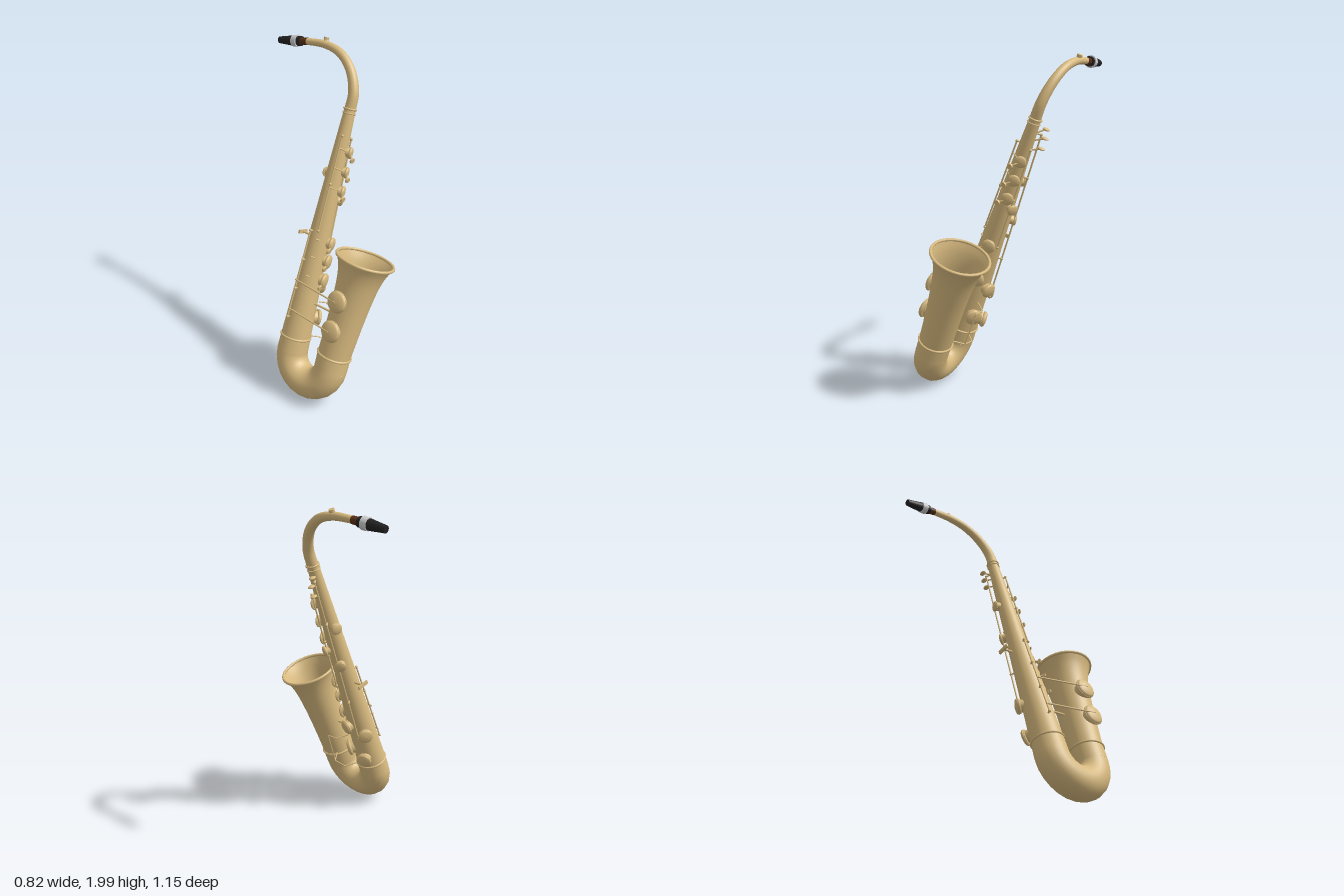
import * as THREE from 'three';

const mat = (color, side = THREE.FrontSide) => new THREE.MeshStandardMaterial({ color, side });
const brass = mat(0xd9bb80), brassOpen = mat(0xd9bb80, THREE.DoubleSide);
const black = mat(0x222222), cork = mat(0x5a3018), silver = mat(0xcccccc);
const V = (x, y, z) => new THREE.Vector3(x, y, z);
const UP = V(0, 1, 0);

const AXIS_Z = 0.05, BELL_Z = 0.35;
// Radius of the conical body at height v
const bodyR = v => 0.092 - 0.041 * v;

function add(parent, name, geo, material = brass) {
  const m = new THREE.Mesh(geo, material);
  m.name = name;
  parent.add(m);
  return m;
}

// Cylinder from a to b with a radius at each end
function rod(parent, name, a, b, r0 = 0.005, r1 = r0, material = brass, sides = 10) {
  const m = add(parent, name, new THREE.CylinderGeometry(r1, r0, a.distanceTo(b), sides), material);
  m.position.copy(a).add(b).multiplyScalar(0.5);
  m.quaternion.setFromUnitVectors(UP, b.clone().sub(a).normalize());
  return m;
}

function ring(parent, name, r, tube, pos) {
  const m = add(parent, name, new THREE.TorusGeometry(r, tube, 8, 32).rotateX(Math.PI / 2));
  m.position.copy(pos);
  return m;
}

// Tube whose radius runs from r0 to r1 along its path
function taperTube(path, steps, r0, r1, sides) {
  const geo = new THREE.TubeGeometry(path, steps, 1, sides);
  const pos = geo.attributes.position, p = V(0, 0, 0);
  for (let i = 0; i <= steps; i++) {
    const c = path.getPointAt(i / steps), r = r0 + (r1 - r0) * i / steps;
    for (let j = 0; j <= sides; j++) {
      const k = i * (sides + 1) + j;
      p.fromBufferAttribute(pos, k).sub(c).multiplyScalar(r).add(c);
      pos.setXYZ(k, p.x, p.y, p.z);
    }
  }
  return geo;
}

// Padded key cup: dish, rolled edge and tone hole chimney, facing dir
function keyCup(parent, name, pos, dir, r, chimney = 0.03) {
  const g = new THREE.Group();
  g.name = name;
  const t = r * 0.3;
  const profile = [[0, -t], [r * 0.94, -t], [r, -t * 0.6], [r, t * 0.2], [r * 0.85, t * 0.6],
    [r * 0.45, t * 0.95], [0, t * 1.05]].map(p => new THREE.Vector2(...p));
  add(g, 'cup', new THREE.LatheGeometry(profile, 20));
  ring(g, 'cupEdge', r * 0.97, r * 0.09, V(0, -t * 0.3, 0));
  rod(g, 'toneHole', V(0, -t - chimney, 0), V(0, -t, 0), r * 0.82, r * 0.82, brass, 20);
  g.position.copy(pos);
  g.quaternion.setFromUnitVectors(UP, dir.clone().normalize());
  parent.add(g);
  return g;
}

// Point at height v on the body, at angle a from +x towards +z, lifted by h
const onBody = (v, a, h) => V(Math.cos(a) * (bodyR(v) + h), v, AXIS_Z + Math.sin(a) * (bodyR(v) + h));

function wire(parent, name, pts, r = 0.004) {
  for (let i = 1; i < pts.length; i++) rod(parent, name, V(...pts[i - 1]), V(...pts[i]), r, r, brass, 8);
}

export function createModel() {
  const root = new THREE.Group();
  root.name = 'saxophone';
  const sax = new THREE.Group();
  sax.name = 'tiltedInstrument';
  sax.position.set(-0.23, 0.33, 0);
  sax.rotation.z = -THREE.MathUtils.degToRad(20.4);
  root.add(sax);

  // Conical body
  rod(sax, 'body', V(0, -0.09, AXIS_Z), V(0, 1.42, AXIS_Z), bodyR(-0.09), bodyR(1.42), brass, 32);
  ring(sax, 'bodyFerrule', bodyR(0), 0.007, V(0, 0, AXIS_Z));
  ring(sax, 'neckFerrule', 0.035, 0.006, V(0, 1.42, AXIS_Z));
  ring(sax, 'neckCollar', 0.036, 0.004, V(0, 1.395, AXIS_Z));

  // U-shaped bow
  const bow = new THREE.Curve();
  bow.getPoint = (t, out = V(0, 0, 0)) =>
    out.set(0, -0.09 - 0.15 * Math.sin(Math.PI * t), 0.2 - 0.15 * Math.cos(Math.PI * t));
  add(sax, 'bow', taperTube(bow, 12, bodyR(-0.09), 0.1, 28));
  rod(sax, 'bowExtension', V(0, -0.09, BELL_Z), V(0, 0.012, BELL_Z), 0.1, 0.101, brass, 32);

  // Flared bell, leaning slightly forward
  const bell = new THREE.Group();
  bell.name = 'bell';
  bell.position.z = BELL_Z;
  bell.rotation.x = 0.075;
  sax.add(bell);
  const flare = new THREE.SplineCurve([[0.1, 0], [0.106, 0.2], [0.114, 0.35], [0.127, 0.48], [0.145, 0.56],
    [0.166, 0.61], [0.172, 0.62]].map(p => new THREE.Vector2(...p)));
  add(bell, 'bellFlare', new THREE.LatheGeometry(flare.getPoints(24), 36), brassOpen);
  ring(bell, 'bellRim', 0.171, 0.009, V(0, 0.62, 0));
  ring(bell, 'bellFerrule', 0.102, 0.007, V(0, 0.003, 0));

  // Curved neck with octave key
  const neck = new THREE.CatmullRomCurve3([[1.4, 0.05], [1.515, 0.047], [1.632, -0.01], [1.71, -0.105],
    [1.738, -0.22], [1.731, -0.37]].map(([v, z]) => V(0, v, z)));
  add(sax, 'neck', taperTube(neck, 28, 0.034, 0.02, 20));
  rod(sax, 'octavePip', V(0, 1.74, -0.23), V(0, 1.778, -0.232), 0.01);
  rod(sax, 'octaveCap', V(0.005, 1.765, -0.232), V(0.005, 1.78, -0.232), 0.016);

  // Cork, mouthpiece and ligature
  const along = s => V(0, 1.731 - 0.14 * s, -0.36 - s);
  rod(sax, 'cork', along(0), along(0.05), 0.022, 0.022, cork, 20);
  rod(sax, 'mouthpieceShank', along(0.045), along(0.12), 0.029, 0.03, black, 20);
  rod(sax, 'ligature', along(0.071), along(0.107), 0.036, 0.034, silver, 20);
  rod(sax, 'mouthpieceBeak', along(0.115), along(0.213), 0.03, 0.02, black, 20);

  // Front key stacks with finger pearls
  const stack = [[1.173, 1.15, 0.034], [1.056, 1.15, 0.034], [0.939, 1.15, 0.036],
    [0.62, 1.3, 0.04], [0.51, 1.3, 0.042], [0.39, 1.3, 0.045]];
  for (const [v, a, r] of stack) {
    const dir = V(Math.cos(a), 0, Math.sin(a)), c = onBody(v, a, 0.022);
    keyCup(sax, 'stackKey', c, dir, r);
    const upper = v > 0.8;
    const p = V(upper ? -0.006 : -0.03, v - 0.032, upper ? 0.148 : 0.155);
    rod(sax, 'pearlArm', c, p, 0.005);
    rod(sax, 'fingerPearl', p, p.clone().add(V(0, -0.002, 0.01)), 0.018, 0.016, brass, 16);
    rod(sax, 'keyArm', c, V(-bodyR(v) - 0.006, v + 0.02, 0.075), 0.004);
  }

  // Keys on the left and back of the body
  for (const [v, a, r] of [[0.877, 0.45, 0.032], [0.785, -0.7, 0.033], [1.025, -1.25, 0.032],
    [0.325, 0.25, 0.045], [0.133, 0.7, 0.05], [0.08, -0.45, 0.048], [0.26, -0.95, 0.045]]) {
    keyCup(sax, 'sideKey', onBody(v, a, 0.026), V(Math.cos(a), 0, Math.sin(a)), r);
  }

  // Palm key touches
  for (const [v, z, u] of [[1.378, 0.005, 0.064], [1.33, 0.015, 0.08], [1.268, 0.02, 0.082]]) {
    const touch = add(sax, 'palmKey', new THREE.SphereGeometry(1, 14, 8));
    touch.scale.set(0.022, 0.008, 0.018);
    touch.position.set(u, v, z);
    rod(sax, 'palmKeyArm', V(u, v, z), V(0.03, v - 0.03, 0.035), 0.005);
  }

  // Long hinge rods carried on posts
  const rods = [
    [V(-0.064, 0.69, 0.075), V(-0.05, 1.265, 0.075), 3],
    [V(-0.1, 0.13, 0.025), V(-0.078, 0.68, 0.03), 4],
    [V(0.088, 0.25, 0.005), V(0.052, 1.34, 0.015), 5],
    [V(0.062, 0.62, 0.09), V(0.048, 1.25, 0.075), 3],
  ];
  for (const [a, b, posts] of rods) {
    rod(sax, 'hingeRod', a, b, 0.005);
    for (let i = 0; i < posts; i++) {
      const p = a.clone().lerp(b, i / (posts - 1));
      rod(sax, 'post', V(0, p.y, AXIS_Z), p, 0.005);
      add(sax, 'postBall', new THREE.SphereGeometry(0.009, 10, 8)).position.copy(p);
    }
  }

  // Bell keys and their arms
  for (const [v, u] of [[0.364, -0.138], [0.178, -0.127]]) {
    const c = V(u, v, 0.362);
    keyCup(sax, 'bellKey', c, V(-1, 0, 0), 0.062, 0.03);
    rod(sax, 'bellKeyArm', V(u - 0.018, v, 0.362), V(-0.1, v + 0.005, 0.02), 0.005);
  }

  // Wire guard between bell and body
  wire(sax, 'keyGuard', [[0.07, 0.235, 0.11], [0.138, 0.235, 0.16], [0.138, 0.235, 0.232],
    [0.141, 0.02, 0.243], [0.141, 0.005, 0.16], [0.07, 0.005, 0.1]]);
  wire(sax, 'guardFoot', [[0.141, 0.02, 0.243], [0.07, 0.02, 0.29]]);

  // Brace joining bell to body
  rod(sax, 'bellBrace', V(0, 0.24, 0.12), V(0, 0.24, 0.27), 0.007);

  // Thumb hook
  rod(sax, 'thumbHookStem', V(0.003, 0.631, 0), V(0.003, 0.631, -0.078), 0.007);
  add(sax, 'thumbHook', new THREE.BoxGeometry(0.075, 0.022, 0.011)).position.set(0.003, 0.631, -0.08);

  return root;
}
